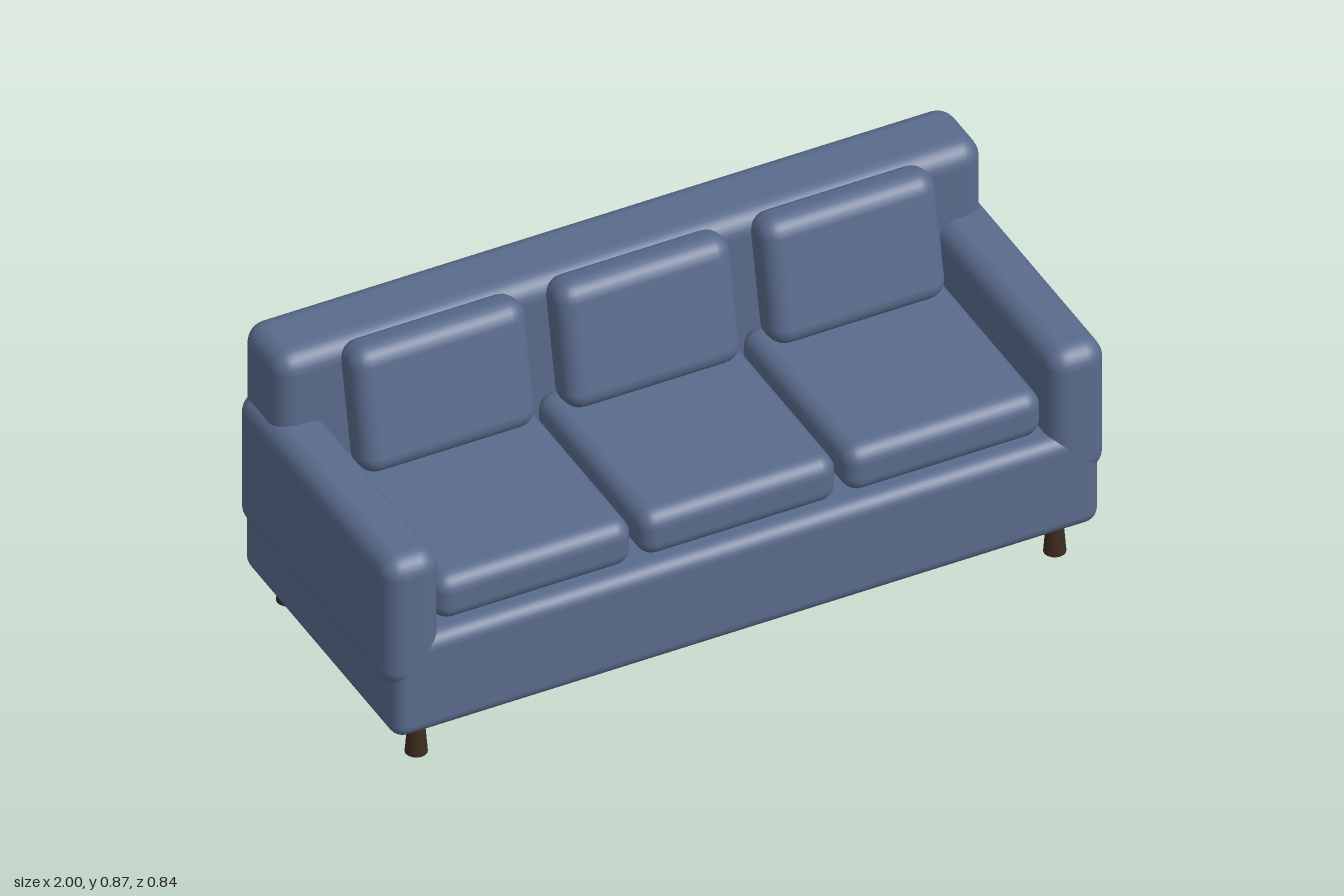
import * as THREE from 'three';
import { RoundedBoxGeometry } from 'three/addons/geometries/RoundedBoxGeometry.js';

export function createModel() {
  const model = new THREE.Group();
  model.name = 'sofa';
  const fabric = new THREE.MeshStandardMaterial({ color: 0x5a6b8c });
  const wood = new THREE.MeshStandardMaterial({ color: 0x3d2b1f });

  // Upholstered block with softly rounded edges, given by its min and max corners
  function block(name, [x0, y0, z0], [x1, y1, z1], radius) {
    const geometry = new RoundedBoxGeometry(x1 - x0, y1 - y0, z1 - z0, 3, radius);
    const mesh = new THREE.Mesh(geometry, fabric);
    mesh.name = name;
    mesh.position.set((x0 + x1) / 2, (y0 + y1) / 2, (z0 + z1) / 2);
    model.add(mesh);
    return mesh;
  }

  // Frame: base and backrest
  block('base', [-0.98, 0.1, -0.41], [0.98, 0.392, 0.418], 0.04);
  block('backrest', [-0.98, 0.37, -0.418], [0.98, 0.855, -0.205], 0.055);

  // Armrests, slightly proud of the base
  block('leftArm', [0.845, 0.255, -0.41], [1, 0.65, 0.419], 0.055);
  block('rightArm', [-1, 0.255, -0.41], [-0.845, 0.65, 0.419], 0.055);

  // Three seat cushions with three back cushions leaning on the backrest
  ['right', 'middle', 'left'].forEach((side, i) => {
    const x = (i - 1) * 0.568;
    block(side + 'SeatCushion', [x - 0.273, 0.388, -0.215], [x + 0.273, 0.522, 0.38], 0.045);
    const pillow = block(side + 'BackCushion',
      [x - 0.244, 0.515, -0.213], [x + 0.244, 0.867, -0.093], 0.05);
    pillow.rotation.x = -0.2;
  });

  // Tapered legs, wider at the floor
  const legGeometry = new THREE.CylinderGeometry(0.019, 0.029, 0.12, 16);
  for (const x of [-0.885, 0.885]) {
    for (const z of [-0.345, 0.345]) {
      const leg = new THREE.Mesh(legGeometry, wood);
      leg.name = (z > 0 ? 'front' : 'back') + (x > 0 ? 'Left' : 'Right') + 'Leg';
      leg.position.set(x, 0.06, z);
      model.add(leg);
    }
  }
  return model;
}
